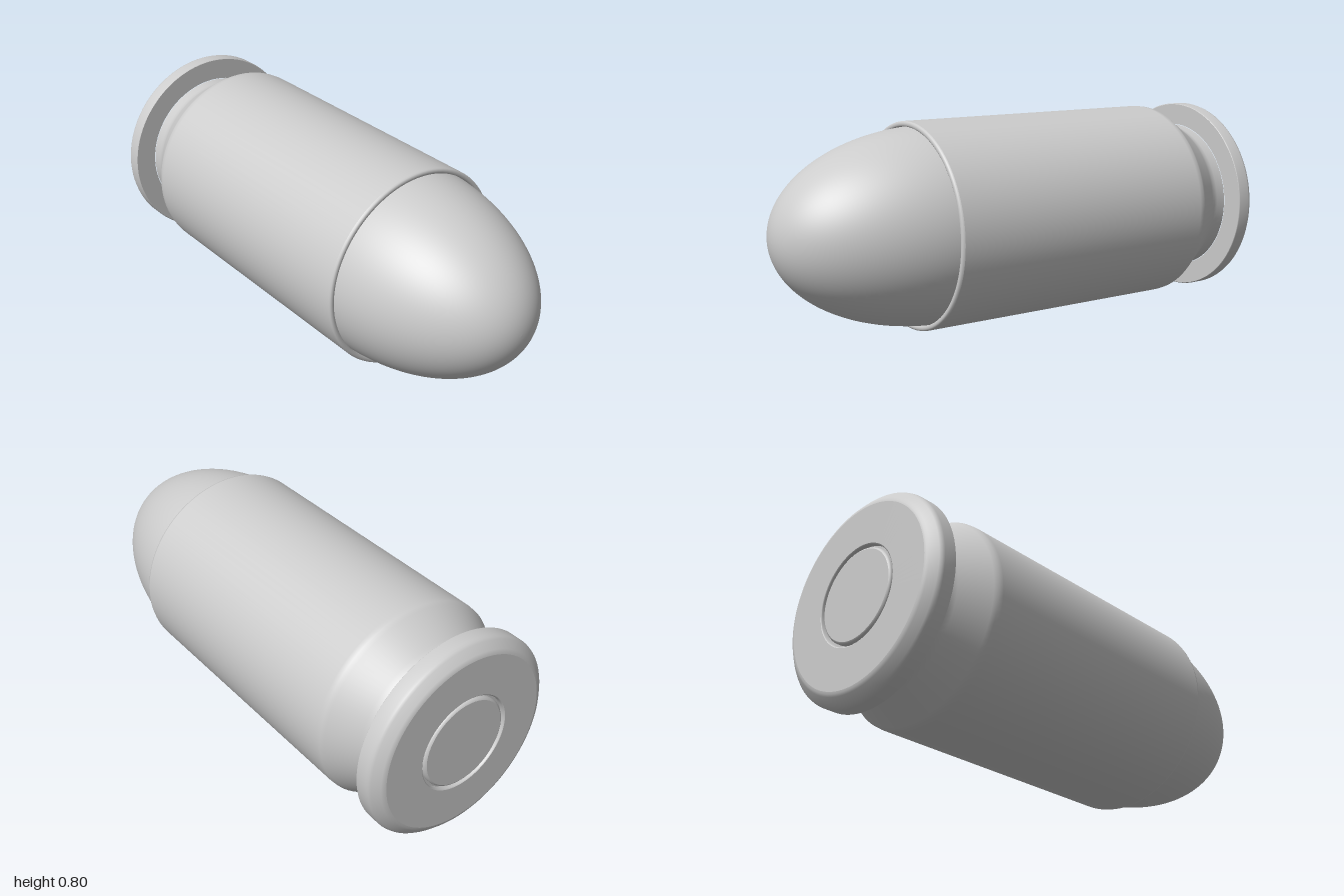
import * as THREE from 'three';

const R = 0.402; // outer radius and height of the long axis

// Revolve [x, radius] points (listed tail to tip) around the long x axis
function turned(name, profile, segments = 96) {
  const points = profile.map(([x, r]) => new THREE.Vector2(r, x));
  const geometry = new THREE.LatheGeometry(points, segments);
  geometry.rotateZ(-Math.PI / 2);
  const mesh = new THREE.Mesh(geometry, new THREE.MeshStandardMaterial({ color: 0xcccccc }));
  mesh.name = name;
  mesh.position.y = R;
  return mesh;
}

export function createModel() {
  const model = new THREE.Group();
  model.name = 'cartridge';

  // Primer cap set in a narrow groove at the tail
  model.add(turned('primerFace', [[-1, 0], [-1, 0.172]]));
  model.add(turned('primerEdge', [[-1, 0.172], [-0.997, 0.177], [-0.992, 0.18], [-0.98, 0.18]]));
  model.add(turned('primerGroove', [[-0.98, 0.18], [-0.98, 0.19]]));
  model.add(turned('primerPocket', [[-0.98, 0.19], [-0.997, 0.19], [-1, 0.194]]));

  // Flat tail and bevelled rim
  model.add(turned('tailFace', [[-1, 0.194], [-1, 0.35]]));
  model.add(turned('rim', [[-1, 0.35], [-0.998, 0.358], [-0.993, 0.367], [-0.972, 0.392],
    [-0.964, 0.399], [-0.955, R], [-0.908, R], [-0.905, 0.399]]));
  model.add(turned('rimInnerFace', [[-0.905, 0.399], [-0.905, 0.312]]));

  // Extractor groove, sloped shoulder and straight case wall
  model.add(turned('case', [[-0.905, 0.31], [-0.865, 0.31], [-0.845, 0.314], [-0.825, 0.324],
    [-0.72, 0.391], [-0.705, 0.4], [-0.685, R], [0.44, R]]));
  model.add(turned('caseMouth', [[0.44, R], [0.447, 0.4], [0.45, 0.394], [0.45, 0.387],
    [0.447, 0.382], [0.43, 0.381]]));

  // Rounded bullet, an ellipse whose widest part sits inside the case
  const ogive = [];
  const steps = 40;
  const start = Math.asin(0.08 / 0.65);
  for (let i = 0; i <= steps; i++) {
    const a = start + (Math.PI / 2 - start) * i / steps;
    ogive.push([0.35 + 0.65 * Math.sin(a), Math.max(0, 0.384 * Math.cos(a))]);
  }
  model.add(turned('bullet', ogive));

  return model;
}
